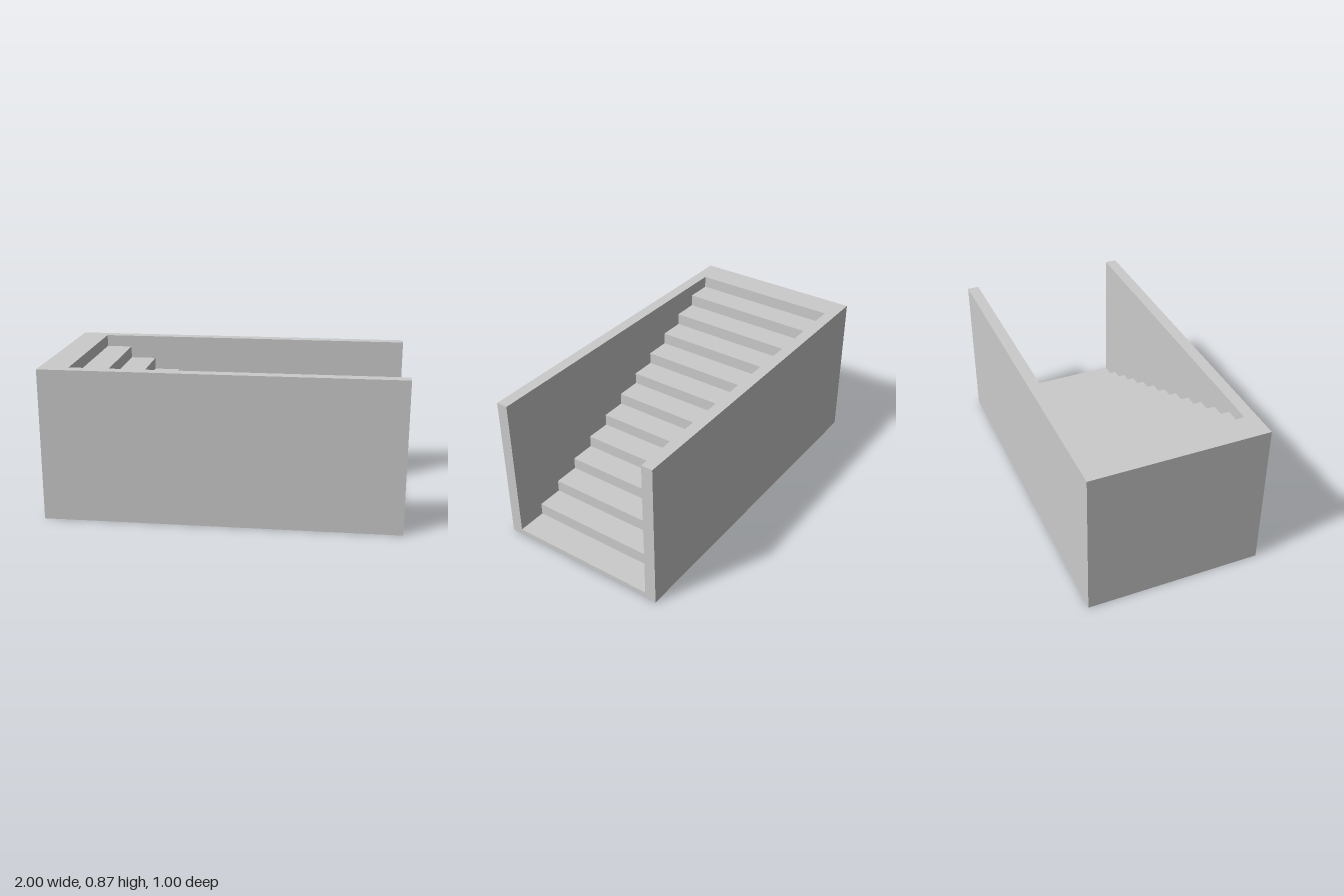
import * as THREE from 'three';

const HEIGHT = 0.866, WALL = 0.066, FLOOR = 0.035;
const STEPS = 12, FIRST_RISER = 0.83, LAST_RISER = -0.838;

export function createModel() {
  const group = new THREE.Group();
  group.name = 'walledStaircase';
  const material = new THREE.MeshStandardMaterial({ color: 0xcccccc, flatShading: true });

  // Solid flight: floor slab, risers climbing towards -x, and the top landing
  const rise = (HEIGHT - FLOOR) / STEPS;
  const run = (FIRST_RISER - LAST_RISER) / (STEPS - 1);
  const profile = new THREE.Shape();
  profile.moveTo(-1, 0);
  profile.lineTo(1, 0);
  profile.lineTo(1, FLOOR);
  for (let i = 0; i < STEPS; i++) {
    const x = FIRST_RISER - i * run;
    profile.lineTo(x, FLOOR + i * rise);
    profile.lineTo(x, FLOOR + (i + 1) * rise);
  }
  profile.lineTo(-1, HEIGHT);
  profile.closePath();

  const width = 1 - 2 * WALL;
  const flight = new THREE.Mesh(
    new THREE.ExtrudeGeometry(profile, { depth: width, bevelEnabled: false }), material);
  flight.name = 'stairFlight';
  flight.position.z = -width / 2;
  group.add(flight);

  // Full-height walls on both sides
  for (const side of [1, -1]) {
    const wall = new THREE.Mesh(new THREE.BoxGeometry(2, HEIGHT, WALL), material);
    wall.name = side > 0 ? 'frontWall' : 'backWall';
    wall.position.set(0, HEIGHT / 2, side * (0.5 - WALL / 2));
    group.add(wall);
  }
  return group;
}
